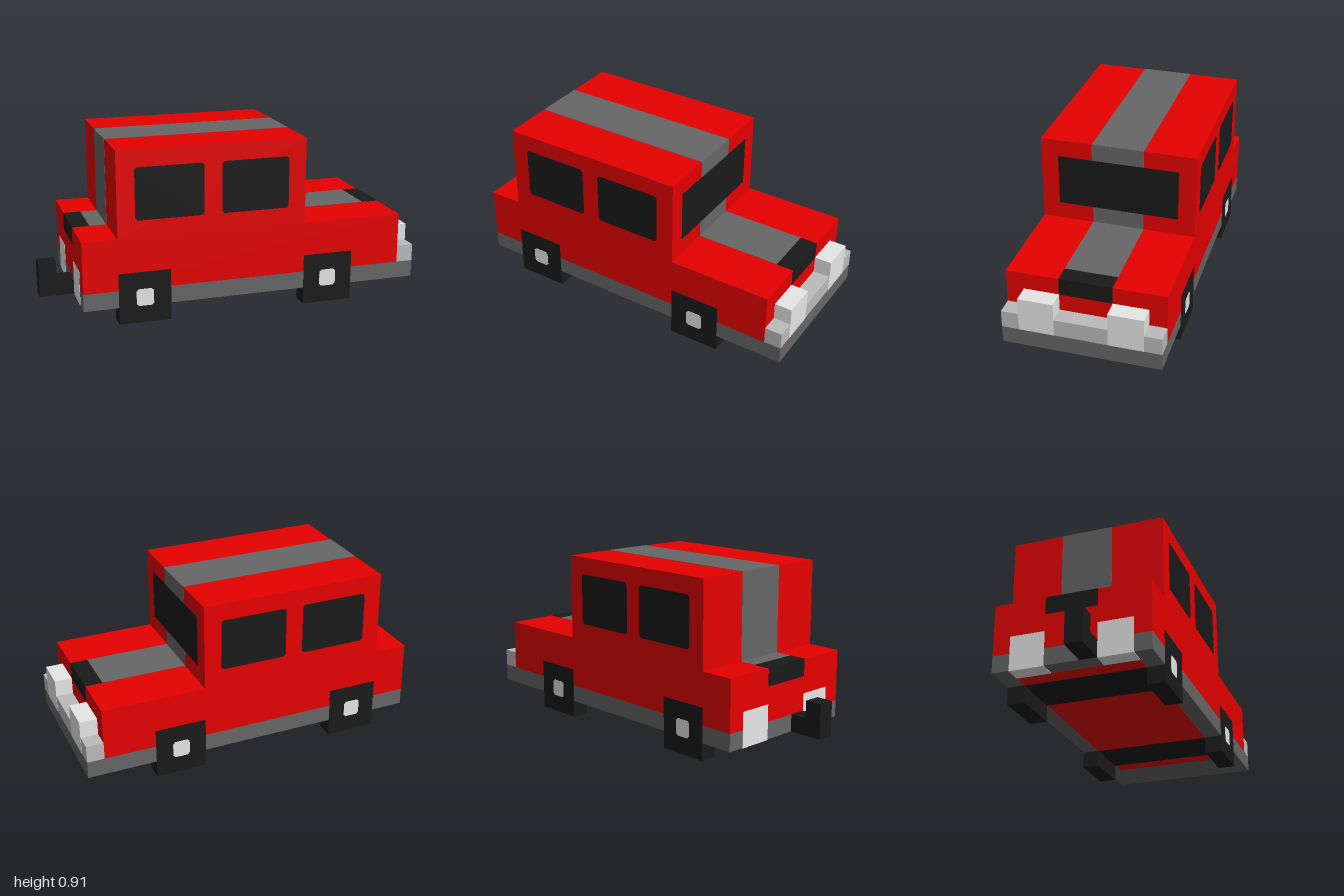
import * as THREE from 'three';

const U = 1 / 11;   // one block of the model
const E = 0.015;    // how far painted plates stand proud, in blocks

const paint = (name, color) => {
  const m = new THREE.MeshStandardMaterial({ color });
  m.name = name;
  return m;
};

export function createModel() {
  const red = paint('red paint', 0xe60000);
  const black = paint('black', 0x1a1a1a);
  const grey = paint('dark grey', 0x666666);
  const silver = paint('silver', 0xbbbbbb);
  const pale = paint('pale grey', 0xe6e6e6);

  const car = new THREE.Group();
  car.name = 'car';

  // Box from its two corners, in blocks
  const block = (name, mat, [x0, x1], [y0, y1], [z0, z1]) => {
    const geo = new THREE.BoxGeometry((x1 - x0) * U, (y1 - y0) * U, (z1 - z0) * U);
    const mesh = new THREE.Mesh(geo, mat);
    mesh.name = name;
    mesh.position.set((x0 + x1) / 2 * U, (y0 + y1) / 2 * U, (z0 + z1) / 2 * U);
    car.add(mesh);
  };
  // Thin plate with clipped corners, centred on a plane of constant z
  const plate = (name, mat, [x0, x1], [y0, y1], z) => {
    const c = 0.13;
    const outline = [
      [x0 + c, y0], [x1 - c, y0], [x1, y0 + c], [x1, y1 - c],
      [x1 - c, y1], [x0 + c, y1], [x0, y1 - c], [x0, y0 + c],
    ].map(([x, y]) => new THREE.Vector2(x * U, y * U));
    const geo = new THREE.ExtrudeGeometry(new THREE.Shape(outline), { depth: 2 * E * U, bevelEnabled: false });
    const mesh = new THREE.Mesh(geo, mat);
    mesh.name = name;
    mesh.position.z = (z - E) * U;
    car.add(mesh);
  };
  // Thin span centred on a surface
  const on = (v) => [v - E, v + E];
  // Span on one side of the car, mirrored by s
  const side = (s, a, b) => (s > 0 ? [a, b] : [-b, -a]);
  const full = [-4.5, 4.5], mid = [-1.5, 1.5];

  // Body and chassis
  block('lowerBody', red, [-9, 10], [2, 5], full);
  block('cabin', red, [-7, 4], [5, 10], full);
  block('chassis', grey, [-9, 11], [1, 2], full);
  block('floor', red, [-8, 8], on(1), [-3.5, 3.5]);

  // Stripe running over the whole car
  block('hoodStripe', grey, [4, 9], on(5), mid);
  block('windshieldStripe', grey, on(4), [5, 10], mid);
  block('roofStripe', grey, [-7, 4], on(10), mid);
  block('rearStripe', grey, on(-7), [5, 10], mid);
  block('trunkStripe', grey, [-8, -7], on(5), mid);

  // Black grille and trunk handle at the ends of the stripe
  block('grille', black, [9, 10 + E], [4, 5 + E], mid);
  block('trunkHandle', black, [-9 - E, -8], [4, 5 + E], mid);

  // Windows
  block('windshield', black, [4 - E, 4 + 2 * E], [6, 9], [-3.5, 3.5]);
  for (const s of [1, -1]) {
    for (const x of [-5.98, -0.98]) plate('sideWindow', black, [x, x + 3.96], [6, 9], 4.5 * s);
  }

  // Bumper, headlights and taillights
  block('bumper', silver, [10, 11], [2, 3], full);
  for (const s of [1, -1]) {
    block('headlight', pale, [10, 11 + E], [2, 4], side(s, 1.5, 3.5));
    block('taillight', pale, [-9 - E, -8], [1 - 2 * E, 3], side(s, 1.5, 3.5));
  }

  // Wheels, hubs and axles
  for (const x of [-7, 4]) {
    block('axle', black, [x, x + 3], [1 - 2 * E, 2], [-3.6, 3.6]);
    for (const s of [1, -1]) {
      block('wheel', black, [x, x + 3], [0, 3], side(s, 3.5, 4.5 + E));
      plate('hub', pale, [x + 1, x + 2], [1, 2], (4.5 + E) * s);
    }
  }

  // Exhaust pipe, turned up at its end
  block('exhaustPipe', black, [-10, -9], [1, 2], [0.5, 1.5]);
  block('exhaustTip', black, [-11, -10], [1, 3], [0.5, 1.5]);

  return car;
}
